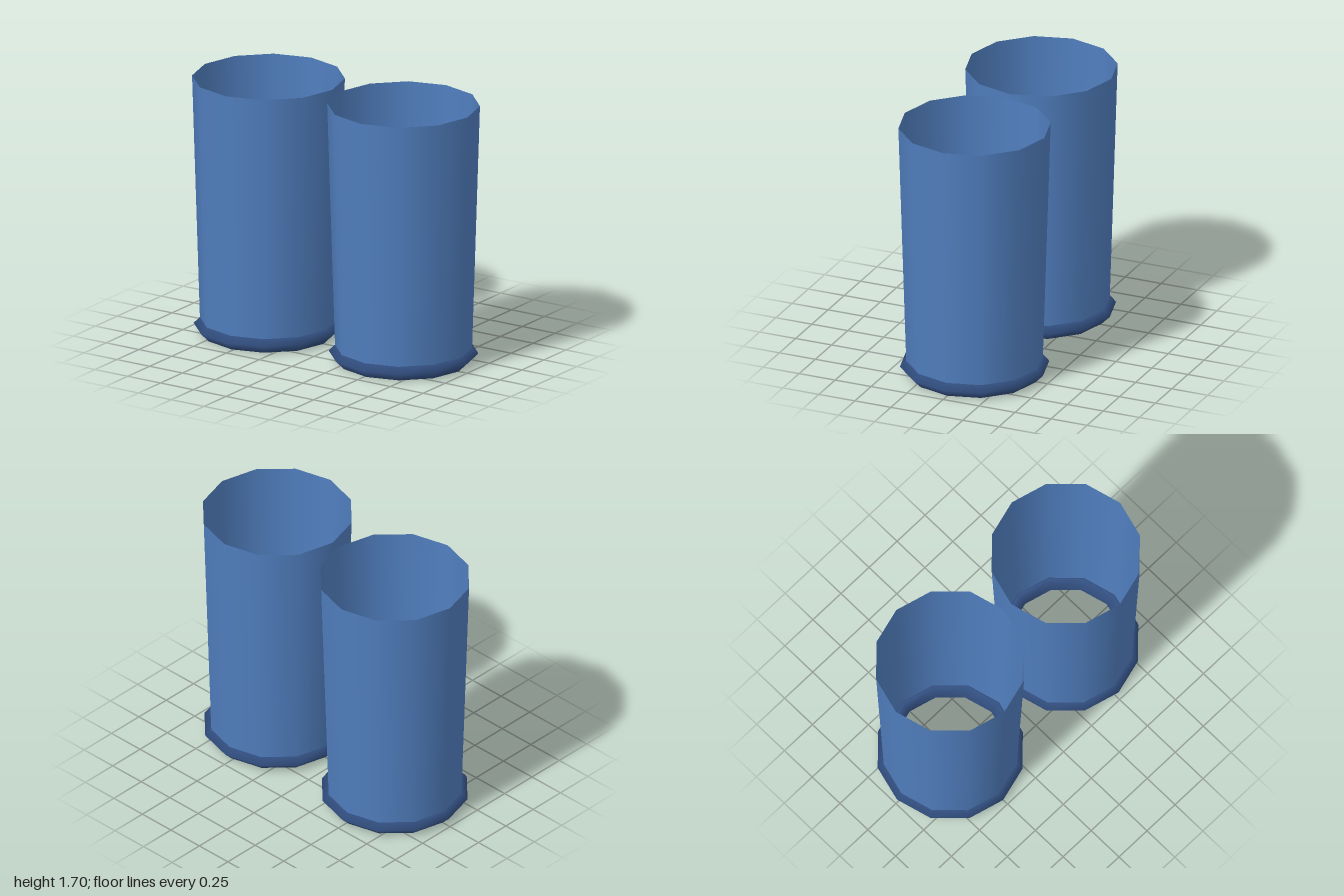
import * as THREE from 'three';

function flatColour(name, color) {
  const material = new THREE.MeshStandardMaterial({ color, side: THREE.DoubleSide });
  material.name = name;
  return material;
}

export function createModel() {
  const model = new THREE.Group();
  model.name = 'cuffPair';
  const blue = flatColour('blue', 0x507ebe);
  const darkBlue = flatColour('darkBlue', 0x345285);

  const SIDES = 12, RIM = 0.055, TOP = 1.7;

  // Open tapered sleeve, running from the middle of the rim to the top
  const sleeveGeo = new THREE.CylinderGeometry(0.485, 0.434, TOP - RIM, SIDES, 1, true);
  sleeveGeo.translate(0, (TOP + RIM) / 2, 0);

  // Diamond-section ring around the bottom edge
  const rimGeo = new THREE.TorusGeometry(0.42, RIM, 4, SIDES);
  rimGeo.rotateX(-Math.PI / 2);
  rimGeo.translate(0, RIM, 0);

  for (const [side, x] of [['left', 0.515], ['right', -0.515]]) {
    const cuff = new THREE.Group();
    cuff.name = side + 'Cuff';
    cuff.position.x = x;
    for (const [name, geo, material] of [['Sleeve', sleeveGeo, blue], ['Rim', rimGeo, darkBlue]]) {
      const mesh = new THREE.Mesh(geo, material);
      mesh.name = side + name;
      cuff.add(mesh);
    }
    model.add(cuff);
  }
  return model;
}
